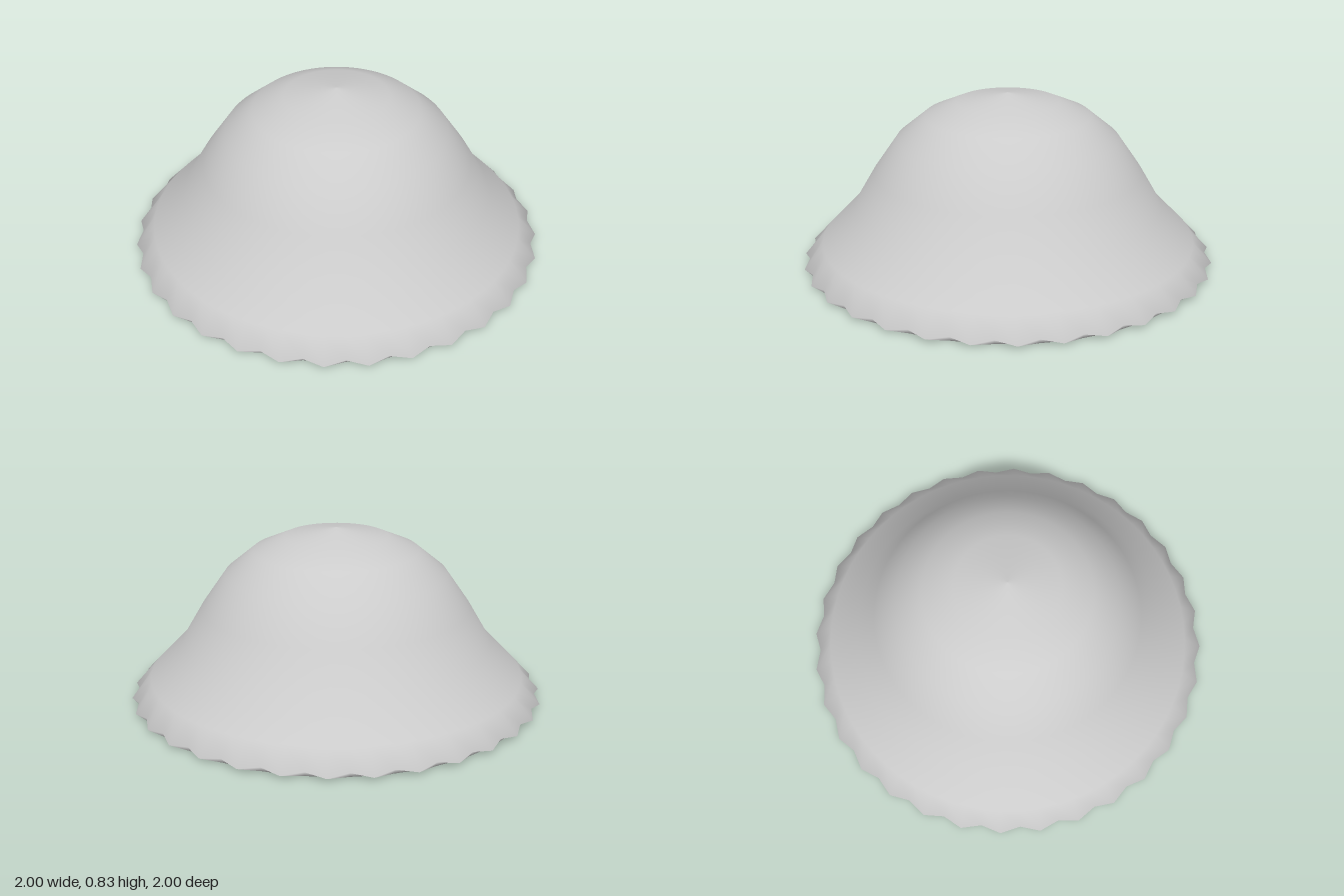
import * as THREE from 'three';

const TEETH = 32;
const SEGMENTS = TEETH * 2;

function lathe(name, profile, material) {
  const points = profile.map(([r, y]) => new THREE.Vector2(r, y));
  const mesh = new THREE.Mesh(new THREE.LatheGeometry(points, SEGMENTS), material);
  mesh.name = name;
  return mesh;
}

export function createModel() {
  const group = new THREE.Group();
  group.name = 'scallopedBell';
  const material = new THREE.MeshStandardMaterial({ color: 0xcccccc, side: THREE.DoubleSide });

  // Bell shell, from the lower lip up to the crown
  const profile = [
    [0.955, 0], [1.0, 0.015], [0.91, 0.115], [0.75, 0.28], [0.65, 0.45],
    [0.535, 0.615], [0.40, 0.725], [0.25, 0.79], [0, 0.832],
  ];
  const shell = lathe('bellShell', profile, material);

  // Scalloped rim: every other point of the widest ring is pulled in and up
  const pos = shell.geometry.attributes.position;
  for (let i = 0; i <= SEGMENTS; i++) {
    const tip = i % 2 === 1;
    const r = tip ? 1.004 : 0.975;
    const y = tip ? 0.015 : 0.028;
    const a = (i / SEGMENTS) * Math.PI * 2;
    pos.setXYZ(i * profile.length + 1, r * Math.sin(a), y, r * Math.cos(a));
  }
  group.add(shell);

  // Underside, very slightly hollow
  group.add(lathe('underside', [[0, 0.03], [0.5, 0.022], [0.955, 0]], material));

  return group;
}
